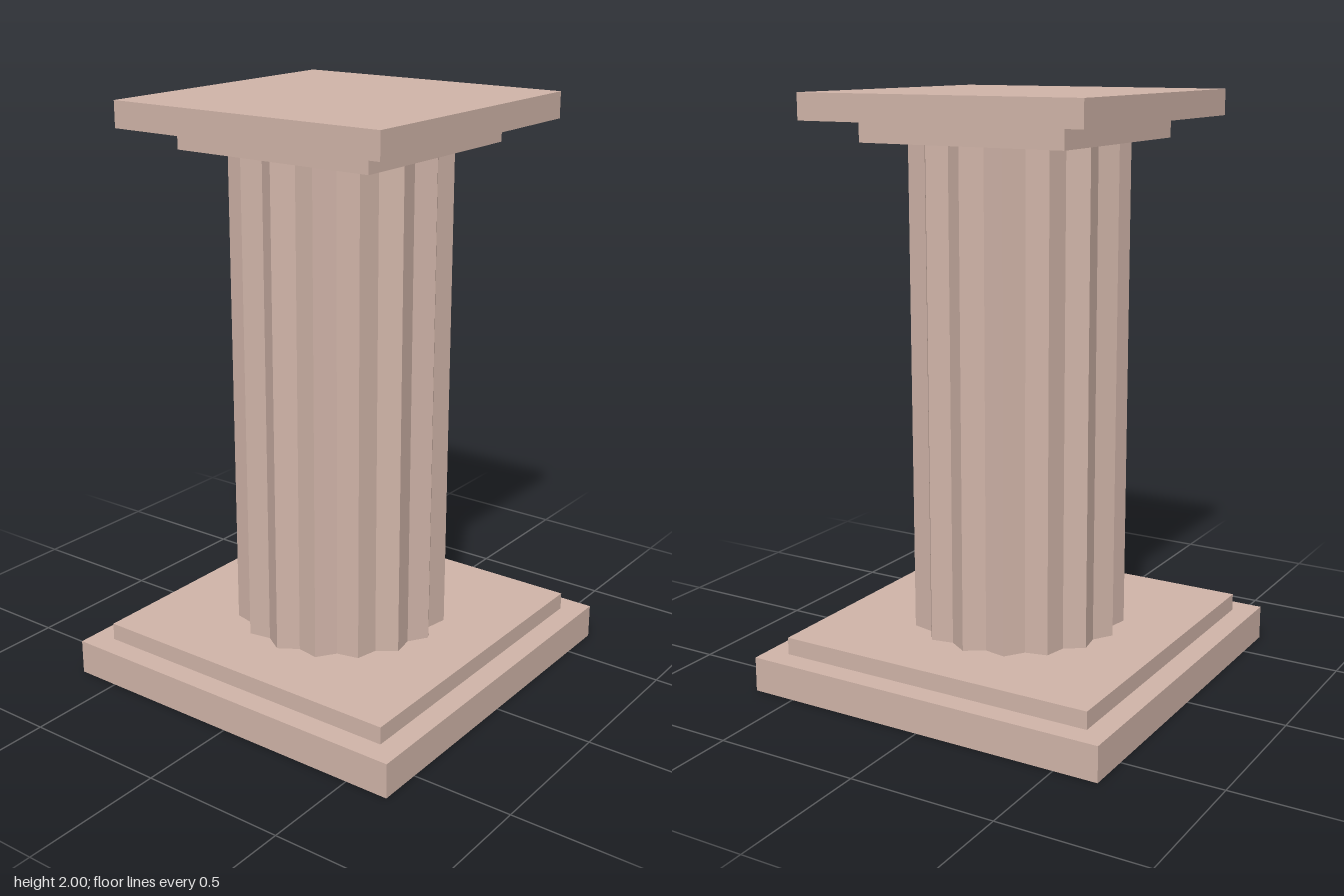
import * as THREE from 'three';

export function createModel() {
  const group = new THREE.Group();
  const stone = new THREE.MeshStandardMaterial({ color: 0xd0b4a8 });
  stone.name = 'pinkStone';
  // The base is an open shell, so its inner faces are visible from below
  const shellStone = stone;
  shellStone.side = THREE.DoubleSide;

  const add = (name, geometry, y = 0) => {
    const mesh = new THREE.Mesh(geometry, stone);
    mesh.name = name;
    mesh.position.y = y;
    group.add(mesh);
  };

  // Square shell swept from a [halfWidth, y] profile, with flat sides
  const squareShell = (profile) => {
    const points = profile.map(([h, y]) => new THREE.Vector2(h * Math.SQRT2, y));
    const geometry = new THREE.LatheGeometry(points, 4).rotateY(Math.PI / 4).toNonIndexed();
    geometry.computeVertexNormals();
    return geometry;
  };

  // Solid square slab between two heights
  const slab = (name, half, y0, y1) =>
    add(name, new THREE.BoxGeometry(half * 2, y1 - y0, half * 2), (y0 + y1) / 2);

  // Hollow stepped base, open underneath
  const base = 0.653, step = 0.574, baseTop = 0.12, stepTop = 0.18;
  add('plinth', squareShell([[base, 0], [base, baseTop], [step, baseTop]]));
  add('plinthStep', squareShell([[step, baseTop], [step, stepTop]]));
  add('plinthStepTop', new THREE.PlaneGeometry(step * 2, step * 2).rotateX(-Math.PI / 2), stepTop);

  // Fluted shaft: sixteen ridges with V-shaped grooves between
  const ridges = 16, shaftTop = 1.84;
  const outline = [];
  for (let i = 0; i < ridges * 2; i++) {
    const r = i % 2 ? 0.335 : 0.37;
    const a = (i * Math.PI) / ridges;
    outline.push(new THREE.Vector2(r * Math.cos(a), r * Math.sin(a)));
  }
  const shaft = new THREE.ExtrudeGeometry(new THREE.Shape(outline), {
    depth: shaftTop - stepTop, bevelEnabled: false,
  });
  add('flutedShaft', shaft.rotateX(-Math.PI / 2), stepTop);

  // Capital
  slab('capitalNeck', 0.374, shaftTop, 1.912);
  slab('capitalSlab', 0.511, 1.912, 2);

  return group;
}
